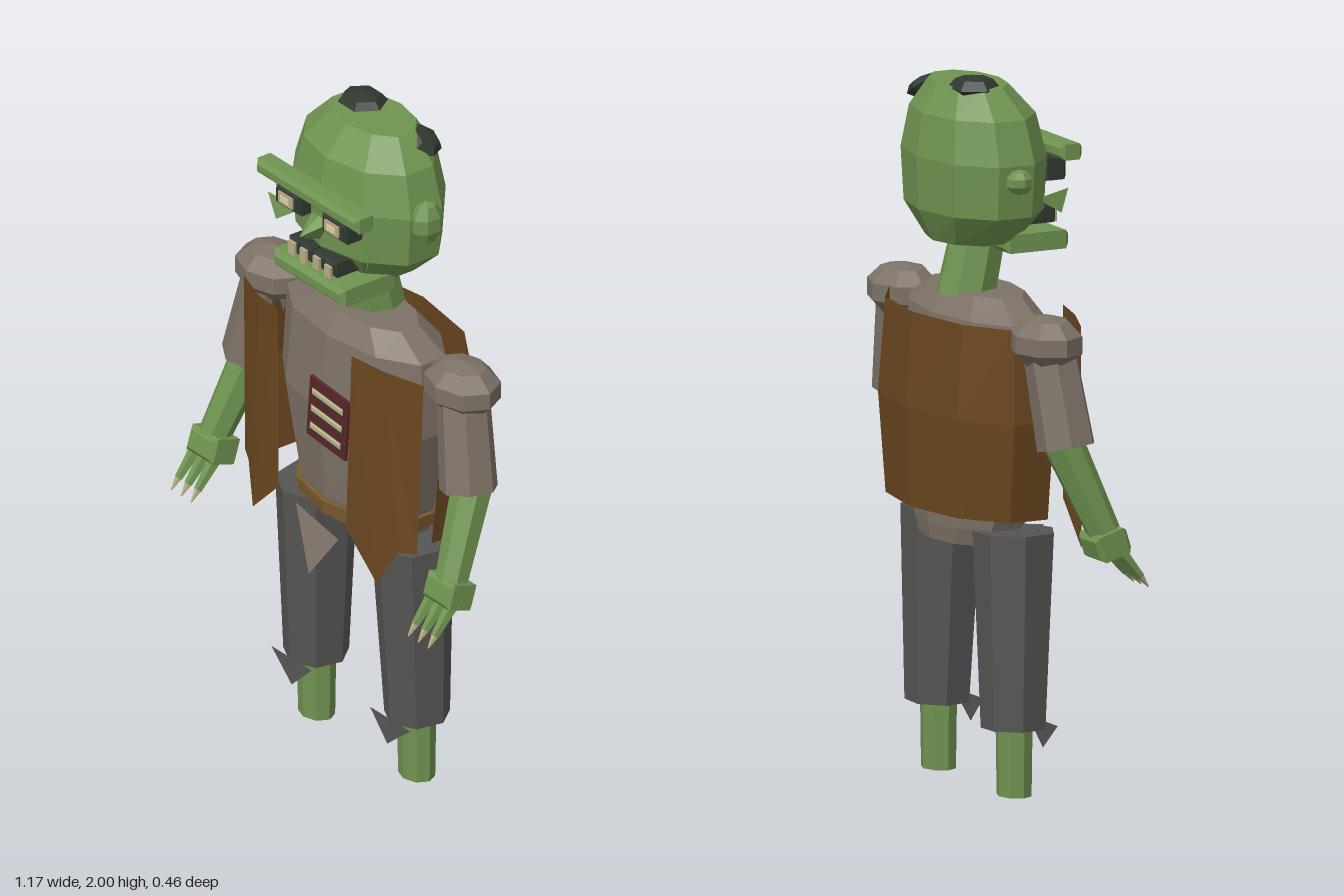
import * as THREE from 'three';

const mat = (name, color) => {
  const m = new THREE.MeshStandardMaterial({ color, side: THREE.DoubleSide, flatShading: true });
  m.name = name;
  return m;
};

// Cross-section loft: rings are [y, rx, rz, centreZ], bottom to top; i0..i1 picks a partial wrap
function loft(rings, n = 10, i0 = 0, i1 = n, caps = true) {
  const pos = [], idx = [], w = i1 - i0 + 1;
  for (const [y, rx, rz, cz] of rings)
    for (let i = i0; i <= i1; i++) {
      const t = (i / n) * Math.PI * 2;
      pos.push(rx * Math.sin(t), y, cz + rz * Math.cos(t));
    }
  for (let r = 0; r < rings.length - 1; r++)
    for (let i = 0; i < w - 1; i++) {
      const a = r * w + i, d = a + w;
      idx.push(a, a + 1, d + 1, a, d + 1, d);
    }
  if (caps) {
    const top = (rings.length - 1) * w;
    for (let i = 1; i < w - 2; i++) idx.push(0, i + 1, i, top, top + i, top + i + 1);
  }
  const g = new THREE.BufferGeometry();
  g.setAttribute('position', new THREE.Float32BufferAttribute(pos, 3));
  g.setIndex(idx);
  g.computeVertexNormals();
  return g;
}

// Flat fan of corner points
function fan(points) {
  const g = new THREE.BufferGeometry();
  const idx = [];
  for (let i = 1; i < points.length - 1; i++) idx.push(0, i, i + 1);
  g.setAttribute('position', new THREE.Float32BufferAttribute(points.flat(), 3));
  g.setIndex(idx);
  g.computeVertexNormals();
  return g;
}

// Tapered rod between two points
function rod(a, b, ra, rb, sides = 7) {
  const A = new THREE.Vector3(...a), B = new THREE.Vector3(...b), dir = B.clone().sub(A);
  const g = new THREE.CylinderGeometry(rb, ra, dir.length(), sides);
  g.applyQuaternion(new THREE.Quaternion().setFromUnitVectors(new THREE.Vector3(0, 1, 0), dir.normalize()));
  const c = A.add(B).multiplyScalar(0.5);
  return g.translate(c.x, c.y, c.z);
}

// Box with chamfered edges
function chamferBox(w, h, d, b) {
  const s = new THREE.Shape();
  const x = w / 2 - b, y = h / 2 - b;
  s.moveTo(-x, -y).lineTo(x, -y).lineTo(x, y).lineTo(-x, y).closePath();
  return new THREE.ExtrudeGeometry(s, { depth: d - 2 * b, bevelSize: b, bevelThickness: b, bevelSegments: 1 })
    .translate(0, 0, -d / 2 + b);
}

export function createModel() {
  const model = new THREE.Group();
  const skin = mat('green skin', 0x6f9350), shirt = mat('taupe shirt', 0x7d7266);
  const leather = mat('brown leather', 0x69461f), cloth = mat('grey trousers', 0x555654);
  const dark = mat('dark growth', 0x303830), bone = mat('bone', 0xb9ac84);
  const wound = mat('wound red', 0x5a2429), belt = mat('belt tan', 0x7a5b2e);
  const glow = mat('pale eye', 0xe0d4a4);
  const add = (name, geo, m, p = [0, 0, 0], r = [0, 0, 0], parent = model) => {
    const mesh = new THREE.Mesh(geo, m);
    mesh.name = name;
    mesh.position.set(...p);
    mesh.rotation.set(...r);
    parent.add(mesh);
    return mesh;
  };

  // Head and neck
  add('head', loft([[1.53, 0.15, 0.12, -0.025], [1.62, 0.255, 0.172, -0.018], [1.77, 0.27, 0.178, -0.018],
    [1.89, 0.232, 0.155, -0.022], [1.97, 0.155, 0.095, -0.035]]), skin);
  add('neck', rod([0, 1.36, -0.045], [0, 1.56, 0], 0.085, 0.078, 8), skin);
  add('brow', chamferBox(0.455, 0.045, 0.068, 0.012), skin, [0, 1.788, 0.17]);
  add('jaw', chamferBox(0.315, 0.052, 0.2, 0.014), skin, [0, 1.53, 0.1]);
  const nose = [[0, 1.72, 0.15], [0, 1.67, 0.225], [0, 1.64, 0.155]];
  for (const s of [-1, 1]) {
    add('noseSide', fan([[s * 0.04, 1.705, 0.15], nose[0], nose[1], nose[2]]), skin);
    add('cheekFlap', fan([[s * 0.23, 1.69, 0.155], [s * 0.15, 1.65, 0.1], [s * 0.2, 1.615, 0.15]]), skin);
    add('eyeSocket', chamferBox(0.11, 0.062, 0.07, 0.01), dark, [s * 0.103, 1.73, 0.155]);
    add('eye', new THREE.BoxGeometry(0.062, 0.034, 0.008), bone, [s * 0.103, 1.731, 0.191]);
    add('pupil', new THREE.BoxGeometry(0.036, 0.018, 0.006), glow, [s * 0.103, 1.731, 0.195]);
  }
  const ear = (w, h, d) => new THREE.SphereGeometry(1, 7, 5).scale(w, h, d);
  add('leftEar', ear(0.04, 0.067, 0.052), skin, [0.265, 1.752, -0.012]);
  add('rightEar', ear(0.035, 0.036, 0.04), skin, [-0.265, 1.727, -0.015]);

  // Teeth, each set in a dark gum block
  [[-0.081, 0.04], [-0.03, 0.046], [0.028, 0.038], [0.079, 0.036]].forEach(([x, h], i) => {
    add('gum', chamferBox(0.052, 0.044, 0.09, 0.007), dark, [x, 1.592, 0.137]);
    add('tooth', new THREE.BoxGeometry(0.028, h, 0.009), bone, [x, 1.588 - (i % 2) * 0.004, 0.186]);
  });

  // Dark growths on the scalp
  const growth = (r, h) => new THREE.SphereGeometry(1, 6, 4).scale(r, h, r * 0.9);
  add('crownGrowth', growth(0.08, 0.035), dark, [-0.078, 1.965, -0.058]);
  add('sideGrowth', growth(0.058, 0.024), dark, [0.155, 1.935, -0.092], [-0.3, 0, -0.5]);

  // Torso, belt and torn hem
  add('torso', loft([[0.695, 0.185, 0.108, -0.045], [0.74, 0.215, 0.13, -0.03], [0.82, 0.245, 0.148, -0.015],
    [1.1, 0.325, 0.165, -0.01], [1.33, 0.315, 0.14, -0.01], [1.39, 0.21, 0.1, -0.005]]), shirt);
  add('belt', loft([[0.775, 0.25, 0.158, -0.015], [0.815, 0.258, 0.162, -0.015]]), belt);
  add('tornHem', fan([[-0.15, 0.735, 0.12], [-0.035, 0.575, 0.165], [0.04, 0.7, 0.12]]), shirt);

  // Vest: curved back shell and two pointed front flaps
  add('vestBack', loft([[0.79, 0.36, 0.19, -0.027], [1.07, 0.4, 0.2, -0.03], [1.335, 0.385, 0.178, -0.03]],
    10, 2, 8, false), leather);
  for (const s of [-1, 1]) {
    add('vestFlapInner', fan([[s * 0.165, 1.35, 0.172], [s * 0.15, 0.805, 0.18], [s * 0.275, 0.685, 0.172],
      [s * 0.28, 1.343, 0.15]]), leather);
    add('vestFlapOuter', fan([[s * 0.28, 1.343, 0.15], [s * 0.275, 0.685, 0.172], [s * 0.335, 0.795, 0.14],
      [s * 0.383, 0.8, 0.115], [s * 0.4, 1.335, 0.105]]), leather);
  }

  // Chest wound with three ribs
  const chest = new THREE.Group();
  chest.name = 'chestWound';
  chest.position.set(0.058, 1.108, 0.168);
  chest.rotation.z = -0.09;
  model.add(chest);
  add('woundPlate', new THREE.BoxGeometry(0.172, 0.19, 0.009), wound, [0, 0, 0], [0, 0, 0], chest);
  for (const y of [0.055, 0, -0.056]) {
    add('ribShadow', new THREE.BoxGeometry(0.145, 0.03, 0.006), dark, [0, y - 0.003, 0.004], [0, 0, 0], chest);
    add('rib', chamferBox(0.135, 0.019, 0.014, 0.004), bone, [0, y, 0.006], [0, 0, 0], chest);
  }

  for (const s of [-1, 1]) {
    // Legs
    const leg = new THREE.Group();
    leg.name = s > 0 ? 'leftLeg' : 'rightLeg';
    model.add(leg);
    const put = (name, geo, m, p, r) => add(name, geo, m, p, r, leg);
    put('trouser', rod([s * 0.225, 0.19, -0.01], [s * 0.213, 0.74, -0.002], 0.093, 0.117), cloth);
    put('trouserTear', fan([[s * 0.31, 0.2, 0.08], [s * 0.213, 0.122, 0.085], [s * 0.13, 0.2, 0.08]]), cloth);
    put('shin', new THREE.CylinderGeometry(0.063, 0.058, 0.3, 8).scale(1, 1, 0.8), skin, [s * 0.223, 0.15, -0.01]);

    // Arms
    const arm = new THREE.Group();
    arm.name = s > 0 ? 'leftArm' : 'rightArm';
    model.add(arm);
    const at = (name, geo, m, p, r) => add(name, geo, m, p, r, arm);
    at('shoulder', new THREE.SphereGeometry(1, 8, 5).scale(0.128, 0.078, 0.1), shirt, [s * 0.422, 1.307, -0.015]);
    at('sleeve', rod([s * 0.43, 1.3, -0.01], [s * 0.487, 1.02, 0.015], 0.075, 0.083), shirt);
    at('forearm', rod([s * 0.485, 1.06, -0.01], [s * 0.53, 0.775, 0.11], 0.06, 0.047), skin);
    at('hand', chamferBox(0.118, 0.075, 0.1, 0.012), skin, [s * 0.527, 0.752, 0.113], [-0.3, 0, 0]);
    for (const k of [-1, 0, 1]) {
      const x = s * (0.528 + k * 0.04);
      at('finger', rod([x, 0.74, 0.13], [x + s * k * 0.003, 0.655, 0.2], 0.021, 0.012, 5), skin);
      at('claw', rod([x + s * k * 0.003, 0.66, 0.196], [x + s * k * 0.004, 0.625, 0.224], 0.012, 0.002, 5), bone);
    }
  }
  return model;
}
